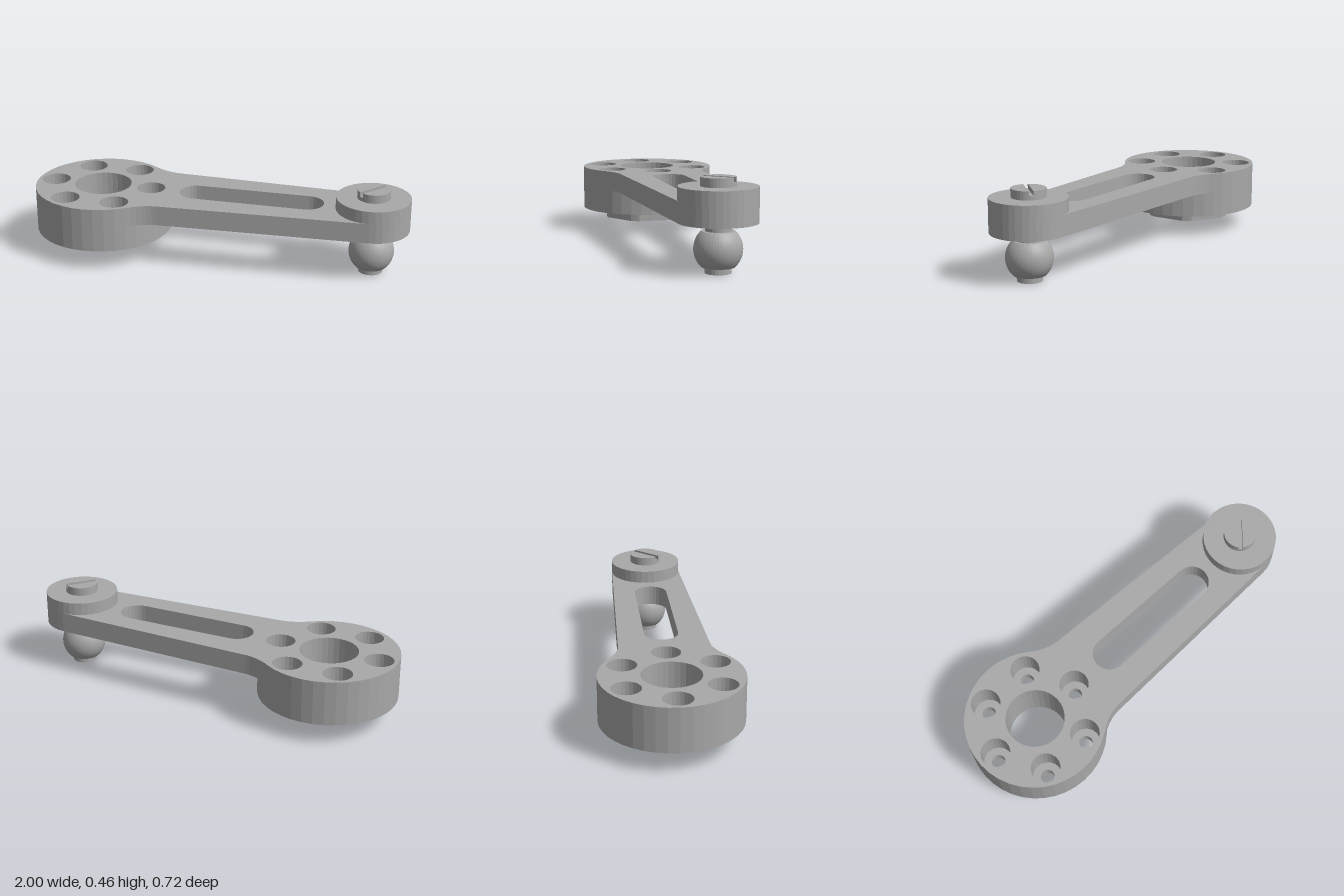
import * as THREE from 'three';

const DISC_X = -0.64, BOSS_X = 0.805;
const rad = THREE.MathUtils.degToRad;

// Points along an arc, angles in degrees
function arc(cx, cy, r, a0, a1, n) {
  return Array.from({ length: n + 1 }, (_, i) => {
    const a = rad(a0 + (a1 - a0) * i / n);
    return new THREE.Vector2(cx + r * Math.cos(a), cy + r * Math.sin(a));
  });
}
const circle = (cx, cy, r, n = 32) => arc(cx, cy, r, 0, 360, n).slice(0, -1);

// Upright prism between two heights, with holes
function prism(outline, holes, y0, y1) {
  const shape = new THREE.Shape(outline);
  shape.holes = holes.map(h => new THREE.Path(h));
  const g = new THREE.ExtrudeGeometry(shape, { depth: y1 - y0, bevelEnabled: false });
  g.rotateX(-Math.PI / 2);
  g.translate(0, y0, 0);
  return g;
}

export function createModel() {
  const group = new THREE.Group();
  const steel = new THREE.MeshStandardMaterial({ color: 0xa8a8a8 });
  steel.name = 'grey steel';
  const add = (name, geometry) => {
    const m = new THREE.Mesh(geometry, steel);
    m.name = name;
    group.add(m);
    return m;
  };

  // Hole patterns
  const bore = circle(DISC_X, 0, 0.15);
  const boltCircle = r => [0, 1, 2, 3, 4, 5].map(k => {
    const a = k * Math.PI / 3;
    return circle(DISC_X + 0.265 * Math.cos(a), 0.265 * Math.sin(a), r, 24);
  });
  const slot = [...arc(0.462, 0, 0.088, -90, 90, 14), ...arc(-0.127, 0, 0.088, 90, 270, 14)];

  // Disc: bolt holes below, counterbores above
  const disc = circle(DISC_X, 0, 0.36, 40);
  add('discBase', prism(disc, [bore, ...boltCircle(0.035)], 0.112, 0.17));
  add('discBody', prism(disc, [bore, ...boltCircle(0.075)], 0.17, 0.24));

  // Arm plate: disc outline, filleted into a tapering bar with a round end
  const rim = arc(DISC_X, 0, 0.36, 54, 306, 28);
  const fillet = new THREE.QuadraticBezierCurve(
    rim[28], new THREE.Vector2(-0.356, -0.237), new THREE.Vector2(-0.28, -0.233)).getPoints(6).slice(1);
  const mirrored = fillet.map(p => new THREE.Vector2(p.x, -p.y)).reverse();
  const plate = [...rim, ...fillet, ...arc(BOSS_X, 0, 0.192, -87.8, 87.8, 18), ...mirrored];
  add('armPlate', prism(plate, [bore, slot, ...boltCircle(0.075)], 0.24, 0.345));

  // Hub: hexagon with its corners turned round
  const hub = [];
  for (let k = 0; k < 6; k++) hub.push(...arc(DISC_X, 0, 0.232, k * 60 + 23.7, k * 60 + 36.3, 3));
  add('hexHub', prism(hub, [bore], 0.056, 0.112));

  // Raised boss at the arm end
  add('endBoss', prism(circle(BOSS_X, 0, 0.192, 36), [], 0.345, 0.411));

  // Screw head: base disc and two halves either side of the driver slot
  add('screwHeadBase', prism(circle(BOSS_X, 0, 0.085), [], 0.411, 0.432));
  for (const side of [0, 180]) {
    const half = arc(BOSS_X, 0, 0.085, 48 + 7.5 + side, 48 + 172.5 + side, 16);
    add('screwHeadHalf', prism(half, [], 0.432, 0.455));
  }

  // Pin and truncated ball
  add('pinNeck', prism(circle(BOSS_X, 0, 0.063, 24), [], 0.2, 0.24));
  add('pinTip', prism(circle(BOSS_X, 0, 0.063, 24), [], 0, 0.03));
  const ballProfile = arc(0, 0.115, 0.117, -46.6, 46.6, 20);
  const ball = add('ball', new THREE.LatheGeometry(
    [new THREE.Vector2(0, 0.03), ballProfile[0].clone(), ...ballProfile, ballProfile[20].clone(), new THREE.Vector2(0, 0.2)]
      .filter((p, i, a) => i === 0 || p.distanceTo(a[i - 1]) > 1e-6), 48).toNonIndexed());
  ball.geometry.computeVertexNormals();
  ball.position.x = BOSS_X;

  return group;
}
